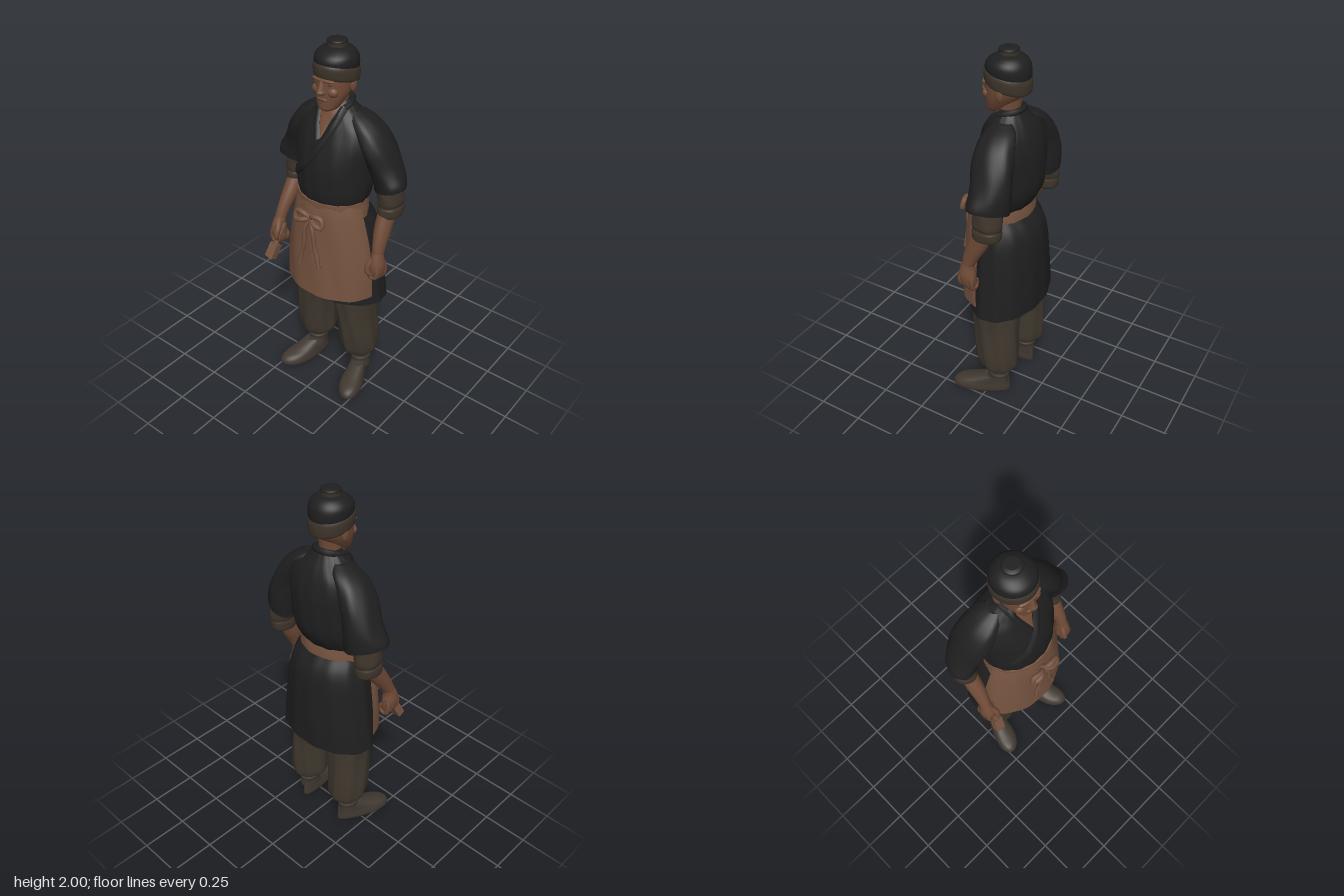
import * as THREE from 'three';

const mat = (name, color, side = THREE.FrontSide) => new THREE.MeshStandardMaterial({ name, color, side });

export function createModel() {
  const model = new THREE.Group();
  model.name = 'craftsman';
  const cloth = mat('black cloth', 0x1f1f20, THREE.DoubleSide);
  const leather = mat('apron brown', 0x75533f, THREE.DoubleSide);
  const skin = mat('skin', 0x704b37);
  const shade = mat('dark skin', 0x503527);
  const trouser = mat('trouser brown', 0x3e372d);
  const shoeMat = mat('shoe brown', 0x403830);
  const band = mat('headband brown', 0x3d342a);

  const add = (name, geo, material, parent = model) => {
    const mesh = new THREE.Mesh(geo, material);
    mesh.name = name;
    parent.add(mesh);
    return mesh;
  };

  // Smooth loft through horizontal sections listed upwards: [y, centre x, half width, front z, back z]
  function loft(secs, { side = 1, arc = Math.PI, fold = [0, 1, 0], warp, steps = 5, seg = 40 } = {}) {
    const closed = arc === Math.PI, pos = [], idx = [], rows = [];
    const at = i => secs[Math.max(0, Math.min(secs.length - 1, i))];
    const spline = (a, b, c, d, t) => {
      const cubic = 3 * (b - c) + d - a;
      const square = 2 * a - 5 * b + 4 * c - d;
      return b + 0.5 * t * (c - a + t * (square + t * cubic));
    };
    for (let i = 0; i < secs.length - 1; i++) {
      const a = at(i - 1), b = at(i), c = at(i + 1), d = at(i + 2);
      for (let k = 0; k < steps; k++) rows.push(b.map((p, j) => spline(a[j], p, c[j], d[j], k / steps)));
    }
    rows.push(at(secs.length - 1));
    const cols = closed ? seg : seg + 1;
    const put = v => {
      if (warp) warp(v);
      pos.push(v.x * side, v.y, v.z);
    };
    const ring = ([y, cx, rx, zf, zb]) => {
      for (let i = 0; i < cols; i++) {
        const a = -arc + 2 * arc * i / seg;
        const f = 1 + fold[0] * Math.sin(fold[1] * a + fold[2] * y);
        put(new THREE.Vector3(cx + rx * f * Math.sin(a), y, (zf + zb) / 2 + (zf - zb) / 2 * f * Math.cos(a)));
      }
    };
    const tri = (a, b, c) => side > 0 ? idx.push(a, b, c) : idx.push(a, c, b);
    rows.forEach(ring);
    for (let r = 0; r < rows.length - 1; r++) {
      for (let i = 0; i < seg; i++) {
        const a = r * cols + i, b = r * cols + (i + 1) % cols;
        tri(a, b, b + cols);
        tri(a, b + cols, a + cols);
      }
    }
    // End caps with their own rims, so the edges stay crisp
    if (closed) for (const [row, top] of [[rows[0], false], [rows[rows.length - 1], true]]) {
      const start = pos.length / 3;
      ring(row);
      put(new THREE.Vector3(row[1], row[0], (row[3] + row[4]) / 2));
      for (let i = 0; i < seg; i++) {
        const a = start + i, b = start + (i + 1) % seg;
        if (top) tri(a, b, start + seg);
        else tri(b, a, start + seg);
      }
    }
    const geo = new THREE.BufferGeometry();
    geo.setAttribute('position', new THREE.Float32BufferAttribute(pos, 3));
    geo.setIndex(idx);
    geo.computeVertexNormals();
    return geo;
  }
  const clamp01 = t => Math.max(0, Math.min(1, t));
  const curve = pts => new THREE.CatmullRomCurve3(pts.map(p => new THREE.Vector3(...p)));
  const tube = (pts, r, n = 20) => new THREE.TubeGeometry(curve(pts), n, r, 8);
  const ball = (x, y, z, rx, ry, rz) => new THREE.SphereGeometry(1, 20, 14).scale(rx, ry, rz).translate(x, y, z);

  // Jacket body and neck
  const torso = add('jacketBody', loft([
    [1.18, 0, .178, .148, -.13], [1.23, 0, .197, .162, -.165], [1.3, 0, .208, .163, -.193], [1.4, 0, .212, .153, -.2],
    [1.5, 0, .222, .122, -.193], [1.58, 0, .205, .085, -.172], [1.63, 0, .15, .06, -.148],
    [1.67, 0, .1, .04, -.118], [1.705, 0, .066, .012, -.093],
  ], { fold: [.012, 15, 14], seg: 64 }), cloth);
  const neck = add('neck', loft([[1.6, 0, .06, .045, -.08], [1.68, 0, .055, .034, -.08], [1.77, 0, .058, .04, -.09]]), skin);

  // Strips laid on the chest by projecting them onto the jacket
  model.updateMatrixWorld(true);
  const ray = new THREE.Raycaster();
  const chestZ = (x, y) => {
    ray.set(new THREE.Vector3(x, y, 1), new THREE.Vector3(0, 0, -1));
    const hit = ray.intersectObjects([torso, neck])[0];
    return hit ? hit.point.z : 0;
  };
  function strip(path, width, lift) {
    const geo = new THREE.PlaneGeometry(1, 1, 6, 24), p = geo.attributes.position;
    const line = curve(path.map(([x, y]) => [x, y, 0]));
    for (let i = 0; i < p.count; i++) {
      const u = p.getX(i), t = .5 - p.getY(i), c = line.getPoint(t);
      const tan = line.getTangent(t), w = width(t) * u;
      const x = c.x - tan.y * w, y = c.y + tan.x * w;
      p.setXYZ(i, x, y, chestZ(x, y) + .003 + lift * Math.cos(u * Math.PI));
    }
    geo.computeVertexNormals();
    return geo;
  }
  add('chest', strip([[-.002, 1.7], [-.002, 1.62], [0, 1.54]], t => .115 * (1 - t) + .006, .003), skin);
  add('rightLapel', strip([[-.068, 1.685], [-.054, 1.62], [-.015, 1.53]], () => .036, .012), cloth);
  add('leftLapel', strip([[.07, 1.685], [.058, 1.62], [.005, 1.5], [-.065, 1.4], [-.15, 1.32]], t => .036 + .02 * t, .014), cloth);
  add('collar', tube([[-.068, 1.675, .01], [-.07, 1.69, -.04], [-.042, 1.703, -.085], [0, 1.706, -.098],
    [.042, 1.703, -.085], [.07, 1.69, -.04], [.068, 1.675, .01]], .016, 32), cloth);

  // Head
  const head = new THREE.Group();
  head.name = 'head';
  model.add(head);
  add('face', loft([
    [1.67, 0, .028, .08, .01], [1.682, 0, .047, .094, -.01], [1.71, 0, .064, .096, -.04], [1.75, 0, .081, .098, -.08],
    [1.79, 0, .09, .097, -.112], [1.83, 0, .093, .095, -.122], [1.88, 0, .094, .087, -.12], [1.92, 0, .08, .06, -.1],
  ]), skin, head);
  add('nose', loft([[1.758, 0, .014, .106, .07], [1.77, 0, .023, .124, .07], [1.787, 0, .017, .118, .07],
    [1.83, 0, .011, .1, .07]], { seg: 16 }), skin, head);
  add('brow', ball(0, 1.828, .08, .066, .011, .02), skin, head);
  add('lips', ball(0, 1.735, .09, .03, .009, .014), skin, head);
  add('mouthLine', ball(0, 1.736, .102, .026, .002, .003), shade, head);
  for (const s of [-1, 1]) {
    add('ear', ball(s * .095, 1.795, -.025, .012, .036, .022), skin, head);
    add('cheek', ball(s * .042, 1.772, .068, .032, .026, .024), skin, head);
    add('eye', ball(s * .036, 1.811, .085, .019, .005, .005), shade, head);
  }
  // Cap, headband and topknot; the band dips at the back
  const dip = v => { v.y += (v.z + .02) * .22 * clamp01((1.96 - v.y) / .1); };
  add('headband', loft([[1.808, 0, .098, .088, -.127], [1.818, 0, .106, .096, -.134], [1.85, 0, .109, .099, -.136],
    [1.872, 0, .107, .096, -.134], [1.885, 0, .1, .09, -.127]], { warp: dip }), band, head);
  add('cap', loft([[1.87, 0, .103, .092, -.13], [1.9, 0, .106, .091, -.131], [1.928, 0, .101, .08, -.125], [1.95, 0, .082, .058, -.106],
    [1.964, 0, .055, .03, -.077], [1.97, 0, .01, -.015, -.03]], { warp: dip }), cloth, head);
  add('topknot', loft([[1.95, 0, .04, .016, -.062], [1.965, 0, .046, .022, -.068],
    [1.975, 0, .047, .023, -.069], [1.99, 0, .049, .025, -.071]]), band, head);
  add('topknotTop', loft([[1.985, 0, .05, .026, -.072], [1.994, 0, .047, .023, -.069], [2.0, 0, .032, .008, -.054]]), cloth, head);

  // Skirt of the jacket, waistband and apron
  add('jacketSkirt', loft([
    [.6, 0, .292, .145, -.226], [.7, 0, .279, .14, -.225], [.85, 0, .257, .14, -.22], [1.0, 0, .233, .14, -.21],
    [1.08, 0, .212, .14, -.19], [1.14, 0, .19, .14, -.15],
  ], { fold: [.013, 13, 3], seg: 72 }), cloth);
  add('waistband', loft([[1.1, 0, .2, .165, -.15], [1.15, 0, .196, .165, -.15], [1.208, 0, .19, .167, -.142]],
    { fold: [.006, 9, 60] }), leather);
  add('apron', loft([
    [.65, 0, .268, .2, -.19], [.8, 0, .264, .192, -.18], [.95, 0, .248, .183, -.17],
    [1.08, 0, .221, .176, -.15], [1.15, 0, .202, .171, -.14], [1.2, 0, .188, .163, -.14],
  ], { arc: 1.5, fold: [.01, 10, 8], seg: 56 }), leather);

  // Tied cord
  add('bowKnot', ball(0, 1.125, .188, .024, .02, .02), leather);
  for (const s of [-1, 1]) {
    add('bowLoop', tube([[0, 1.125, .19], [s * .035, 1.152, .205], [s * .078, 1.145, .2], [s * .082, 1.105, .207],
      [s * .045, 1.11, .215], [0, 1.125, .19]], .014, 28), leather);
    add('bowTail', tube([[0, 1.12, .195], [s * .025, 1.06, .207], [s * .035, .96, .205], [s * .052, .9, .205],
      [s * .062, s < 0 ? .83 : .85, .21]], .011, 28), leather);
  }

  for (const s of [-1, 1]) {
    const o = { side: s }, arm = new THREE.Group(), leg = new THREE.Group();
    arm.name = s > 0 ? 'leftArm' : 'rightArm';
    leg.name = s > 0 ? 'leftLeg' : 'rightLeg';
    model.add(arm, leg);

    // Wide short sleeve with a slanted, forward-turned hem
    const hem = v => {
      const out = (v.x - .29) * clamp01((1.45 - v.y) / .13);
      v.y += .3 * out;
      v.z += .3 * out;
    };
    add('sleeve', loft([
      [1.285, .29, .095, .01, -.165], [1.315, .287, .093, .014, -.168], [1.4, .26, .085, .028, -.172],
      [1.5, .222, .078, .045, -.168], [1.58, .178, .07, .038, -.15], [1.63, .13, .06, .018, -.128], [1.662, .09, .035, -.01, -.09],
    ], { ...o, fold: [.018, 7, 22], warp: hem }), cloth, arm);
    add('rolledUndersleeve', loft([
      [1.135, .298, .046, -.005, -.135], [1.148, .3, .059, .003, -.148], [1.185, .3, .06, .003, -.152], [1.2, .299, .055, -.002, -.15],
      [1.218, .299, .06, .002, -.155], [1.25, .295, .06, .002, -.155], [1.33, .28, .06, 0, -.15],
    ], { ...o, fold: [.02, 5, 40] }), band, arm);

    // Forearm and fist; the right one reaches further forward
    const reach = y => s < 0 ? .055 * clamp01((1.17 - y) / .25) : 0;
    const fwd = { ...o, warp: v => { v.z += reach(v.y); } };
    add('forearm', loft([[.94, .306, .029, .068, .005], [1.0, .303, .033, .06, -.028], [1.08, .297, .042, .036, -.075],
      [1.17, .295, .044, 0, -.115]], fwd), skin, arm);
    add('palm', loft([[.806, .302, .018, .055, .008], [.835, .305, .034, .078, -.007], [.885, .309, .038, .086, -.01],
      [.93, .307, .033, .077, -.002], [.965, .305, .028, .066, .0]], fwd), skin, arm);
    for (let i = 0; i < 4; i++) {
      const z = .002 + i * .023 + reach(.85), low = .81 + i * .005;
      add('finger', tube([[s * .318, .905, z], [s * .33, .86, z], [s * .316, low, z], [s * .288, low + .004, z],
        [s * .282, low + .04, z], [s * .3, low + .05, z]], .013, 16), skin, arm);
    }
    add('thumb', tube([[s * .298, .94, .05 + reach(.9)], [s * .282, .895, .083 + reach(.9)],
      [s * .287, .855, .086 + reach(.9)], [s * .3, .84, .065 + reach(.9)]], .015, 12), skin, arm);

    // Baggy trouser leg gathered at the ankle
    add('trouserLeg', loft([
      [.185, .148, .06, .01, -.125], [.195, .147, .09, .045, -.148], [.23, .147, .102, .068, -.158], [.32, .147, .103, .085, -.16],
      [.46, .14, .1, .1, -.157], [.58, .128, .113, .112, -.16], [.7, .125, .118, .115, -.16],
    ], { ...o, fold: [.032, 8, 8], seg: 56 }), trouser, leg);
    // Wrapped ankle and turned-out shoe
    add('ankleWrap', loft([[.07, .158, .052, .03, -.108], [.115, .156, .05, .008, -.108], [.135, .155, .055, .01, -.112],
      [.148, .155, .05, .005, -.108], [.168, .154, .055, .01, -.112], [.2, .152, .052, .005, -.11]], o), shoeMat, leg);
    add('shoe', loft([[0, .155, .052, .19, -.104], [.012, .155, .057, .202, -.112], [.035, .155, .056, .198, -.113],
      [.056, .155, .052, .172, -.112], [.075, .155, .05, .11, -.11], [.105, .155, .046, .028, -.106]],
    { ...o, warp: v => { v.x = .155 + (v.x - .155) * (1 + 2.6 * v.z) + .27 * (v.z + .05); } }), shoeMat, leg);
  }

  // Small mallet held in the right hand
  const tool = new THREE.Group();
  tool.name = 'mallet';
  add('malletHandle', new THREE.CylinderGeometry(.012, .014, .17, 12).translate(0, .085, 0), leather, tool);
  add('malletHead', new THREE.BoxGeometry(.05, .085, .042), leather, tool);
  tool.position.set(-.3, .775, .158);
  tool.rotation.set(-.45, 0, -.15);
  model.add(tool);
  return model;
}
